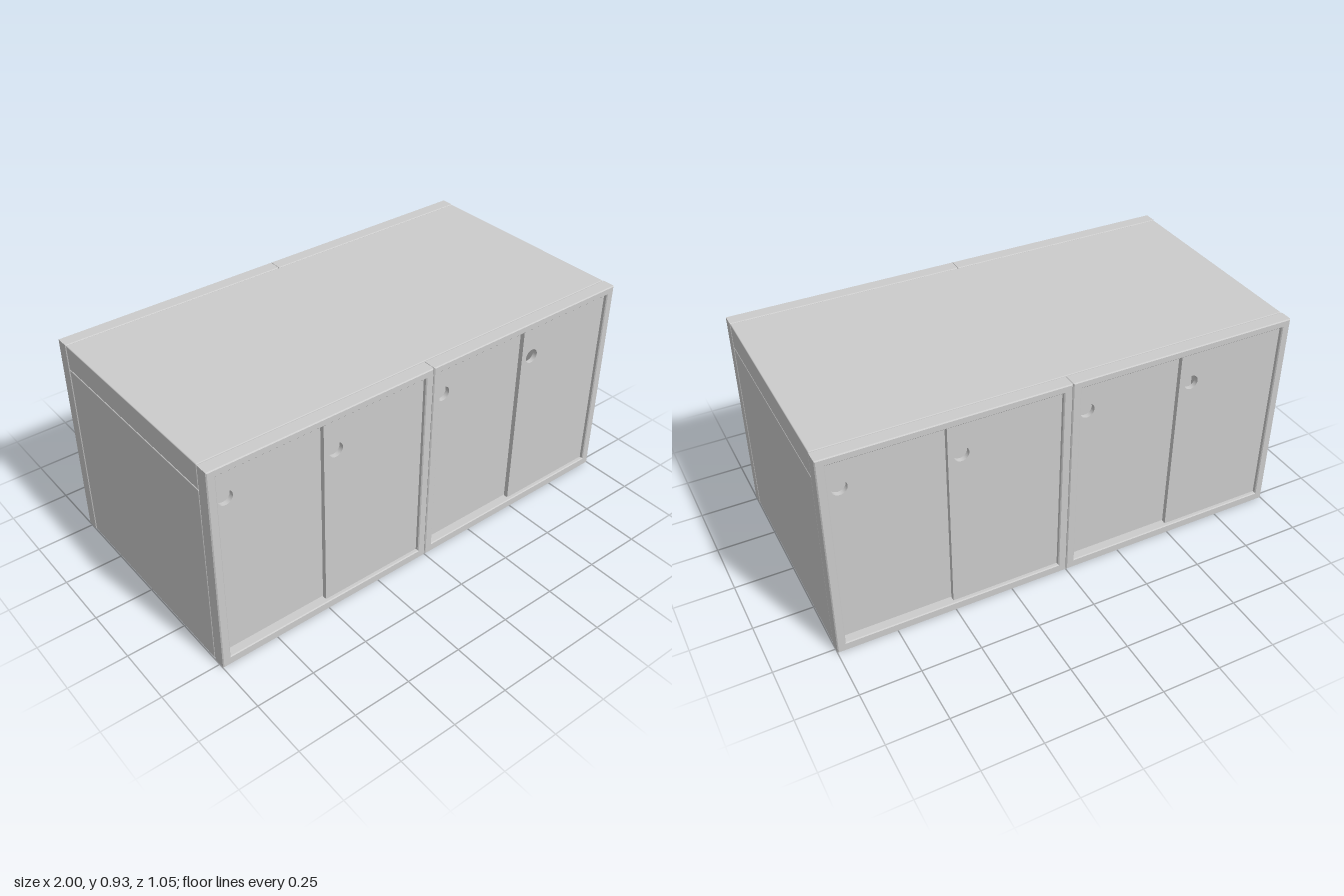
import * as THREE from 'three';
import { RoundedBoxGeometry } from 'three/addons/geometries/RoundedBoxGeometry.js';

const material = new THREE.MeshStandardMaterial({ color: 0xcccccc });

const HEIGHT = 0.93;
const HALF_DEPTH = 0.525;   // outer face of the door frames
const CORE = 0.465;         // half depth of the carcass between the frames
const BEVEL = 0.004;

function addMesh(parent, name, geometry, x = 0, y = 0, z = 0) {
  const mesh = new THREE.Mesh(geometry, material);
  mesh.name = name;
  mesh.position.set(x, y, z);
  parent.add(mesh);
}

// Board given by its lower and upper corners, with softly eased edges
function addBoard(parent, name, [x0, y0, z0], [x1, y1, z1]) {
  const geometry = new RoundedBoxGeometry(x1 - x0, y1 - y0, z1 - z0, 2, BEVEL);
  addMesh(parent, name, geometry, (x0 + x1) / 2, (y0 + y1) / 2, (z0 + z1) / 2);
}

function rectangle(Type, x0, y0, x1, y1) {
  return new Type([
    new THREE.Vector2(x0, y0), new THREE.Vector2(x1, y0),
    new THREE.Vector2(x1, y1), new THREE.Vector2(x0, y1),
  ]);
}

// Sheet of a given thickness starting at z = 0, edges bevelled inside its outline
function sheet(shape, thickness, bevel) {
  const geometry = new THREE.ExtrudeGeometry(shape, {
    depth: thickness - 2 * bevel, curveSegments: 32,
    bevelEnabled: bevel > 0, bevelSegments: 1,
    bevelSize: bevel, bevelThickness: bevel, bevelOffset: -bevel,
  });
  return geometry.translate(0, 0, bevel);
}

// Sliding door with a round finger hole
function doorGeometry(x0, x1, holeX) {
  const shape = rectangle(THREE.Shape, x0, 0.037, x1, 0.902);
  shape.holes.push(new THREE.Path().absarc(holeX, 0.755, 0.031, 0, Math.PI * 2, true));
  return sheet(shape, 0.02, 0);
}

// One frame with its pair of overlapping sliding doors, centred on x = 0
function createDoorUnit() {
  const unit = new THREE.Group();
  unit.name = 'slidingDoorUnit';

  const outline = rectangle(THREE.Shape, -0.499, 0, 0.499, HEIGHT);
  outline.holes.push(rectangle(THREE.Path, -0.463, 0.04, 0.463, 0.898));
  addMesh(unit, 'doorFrame', sheet(outline, HALF_DEPTH - CORE, BEVEL), 0, 0, CORE);

  addMesh(unit, 'rearSlidingDoor', doorGeometry(-0.466, 0.02, -0.41), 0, 0, 0.466);
  addMesh(unit, 'frontSlidingDoor', doorGeometry(-0.005, 0.466, 0.05), 0, 0, 0.489);
  return unit;
}

export function createModel() {
  const model = new THREE.Group();
  model.name = 'doubleSidedCabinet';

  // Carcass: thick top, two sides, raised floor and a lengthwise divider
  const carcass = new THREE.Group();
  carcass.name = 'carcass';
  model.add(carcass);
  const z = CORE - 0.001;
  addBoard(carcass, 'topSlab', [-0.998, 0.821, -z], [0.998, HEIGHT, z]);
  for (const side of [-1, 1]) {
    const xs = [side * 0.998, side * 0.94].sort((a, b) => a - b);
    addBoard(carcass, 'sidePanel', [xs[0], 0.002, -z], [xs[1], 0.819, z]);
  }
  addBoard(carcass, 'floorPanel', [-0.94, 0.085, -z], [0.94, 0.125, z]);
  addBoard(carcass, 'centreDivider', [-0.94, 0.002, -0.02], [0.94, 0.821, 0.02]);

  // Two door units on each long face; the back is the front turned around
  for (const turn of [0, Math.PI]) {
    const face = new THREE.Group();
    face.name = turn ? 'backDoors' : 'frontDoors';
    face.rotation.y = turn;
    for (const x of [-0.5, 0.5]) {
      const unit = createDoorUnit();
      unit.position.x = x;
      face.add(unit);
    }
    model.add(face);
  }
  return model;
}
